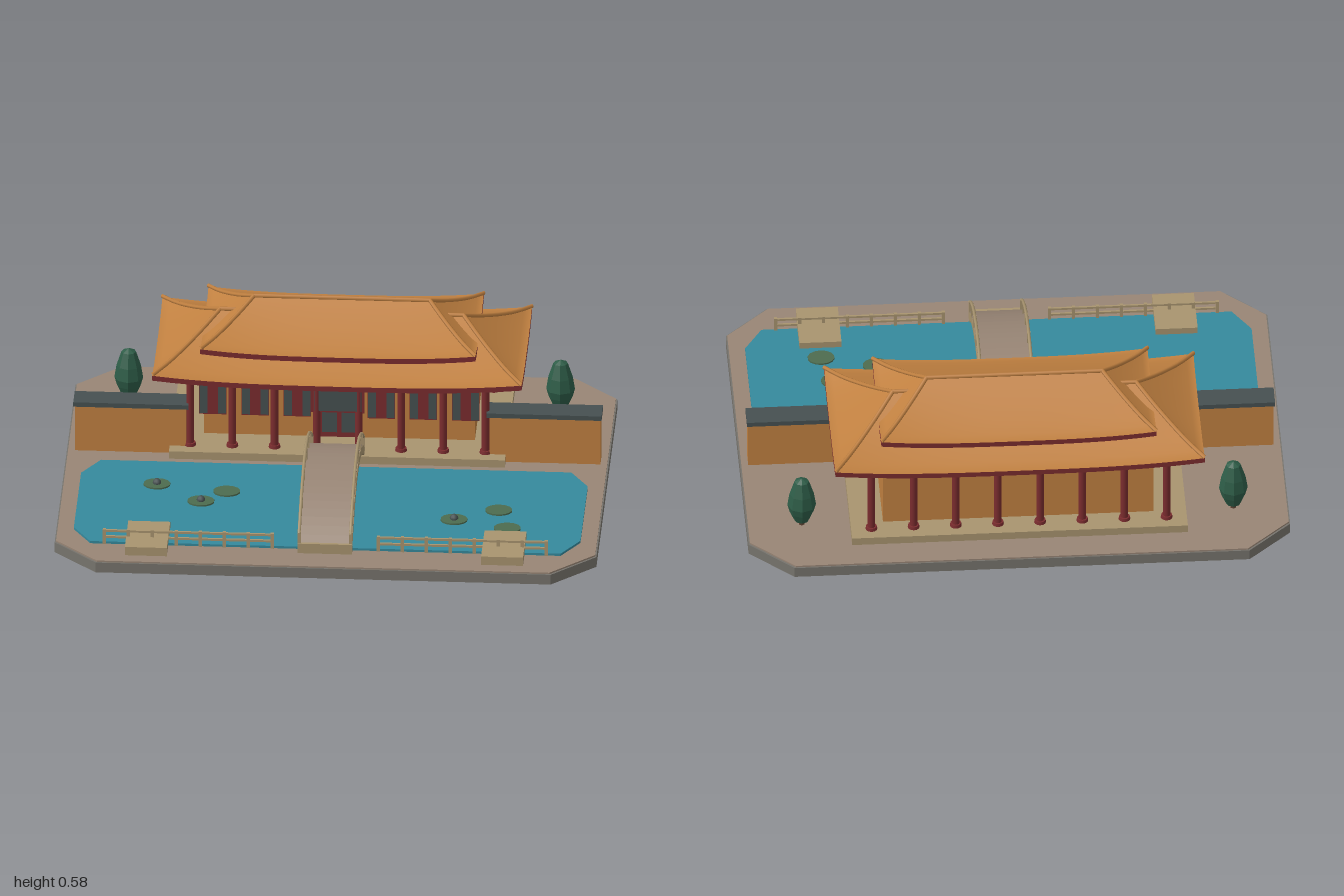
import * as THREE from 'three';
import { ParametricGeometry } from 'three/addons/geometries/ParametricGeometry.js';

const mat = (name, color, extra = {}) => {
  const m = new THREE.MeshStandardMaterial({ color, ...extra });
  m.name = name;
  return m;
};

export function createModel() {
  const ochre = mat('ochre', 0xc08040);
  const red = mat('dark red', 0x7a2c2e);
  const stone = mat('sandstone', 0xa8946f);
  const paving = mat('paving', 0x988575);
  const slabGrey = mat('slab grey', 0x76736c);
  const water = mat('water', 0x35899c);
  const tile = mat('dark tile', 0x465051);
  const leaf = mat('foliage', 0x2d5c47, { flatShading: true });
  const lily = mat('lily green', 0x4d6b4f);
  const trunkBrown = mat('trunk brown', 0x5a4030);

  const root = new THREE.Group();
  root.name = 'pavilionGarden';
  const add = (name, geo, m, x = 0, y = 0, z = 0, parent = root) => {
    const mesh = new THREE.Mesh(geo, m);
    mesh.name = name;
    mesh.position.set(x, y, z);
    parent.add(mesh);
    return mesh;
  };
  // Box given by its minimum and maximum on each axis
  const box = (name, m, x0, x1, y0, y1, z0, z1, parent = root) =>
    add(name, new THREE.BoxGeometry(x1 - x0, y1 - y0, z1 - z0), m,
      (x0 + x1) / 2, (y0 + y1) / 2, (z0 + z1) / 2, parent);

  // Octagonal plate: rectangle with cut corners
  const plate = (name, m, hx, z0, z1, cx, cz, y0, y1) => {
    const pts = [[-hx + cx, z0], [hx - cx, z0], [hx, z0 + cz], [hx, z1 - cz],
      [hx - cx, z1], [-hx + cx, z1], [-hx, z1 - cz], [-hx, z0 + cz]];
    const shape = new THREE.Shape(pts.map(([x, z]) => new THREE.Vector2(x, -z)));
    const geo = new THREE.ExtrudeGeometry(shape, { depth: y1 - y0, bevelEnabled: false });
    geo.rotateX(-Math.PI / 2);
    return add(name, geo, m, 0, y0, 0);
  };
  plate('baseSlab', slabGrey, 1, -0.8, 0.8, 0.16, 0.155, 0, 0.04);
  plate('paving', paving, 0.995, -0.795, 0.795, 0.16, 0.155, 0.04, 0.046);
  plate('pond', water, 0.935, -0.01, 0.655, 0.067, 0.11, 0.046, 0.055);

  // Lily pads and buds
  [[-0.65, 0.18, 1], [-0.48, 0.31, 1], [-0.39, 0.225, 0],
    [0.46, 0.405, 1], [0.62, 0.32, 0], [0.66, 0.465, 0]].forEach(([x, z, bud]) => {
    add('lilyPad', new THREE.CylinderGeometry(0.05, 0.05, 0.006, 14), lily, x, 0.058, z).scale.z = 0.82;
    if (bud) add('lilyBud', new THREE.SphereGeometry(0.016, 8, 6), tile, x, 0.064, z);
  });

  // Hall: platform, body, doors and windows
  const CZ = -0.367;
  const hall = new THREE.Group();
  hall.name = 'hall';
  root.add(hall);
  box('platform', stone, -0.62, 0.62, 0.046, 0.076, -0.68, -0.052, hall);
  box('hallWalls', ochre, -0.5, 0.5, 0.076, 0.375, -0.583, -0.21, hall);
  box('door', red, -0.075, 0.075, 0.08, 0.31, -0.21, -0.2, hall);
  for (const s of [-1, 1]) {
    box('doorPanel', tile, s * 0.036 - 0.027, s * 0.036 + 0.027, 0.1, 0.295, -0.2, -0.197, hall);
    for (const c of [0.467, 0.31, 0.155]) {
      const x = s * c;
      box('window', red, x - 0.05, x + 0.05, 0.16, 0.29, -0.212, -0.2, hall);
      for (const d of [-0.034, 0.034])
        box('windowPane', tile, x + d - 0.015, x + d + 0.015, 0.165, 0.285, -0.2, -0.196, hall);
    }
  }
  box('signFrame', red, -0.098, 0.098, 0.228, 0.33, -0.12, -0.105, hall);
  box('signBoard', tile, -0.088, 0.088, 0.236, 0.322, -0.105, -0.1, hall);

  // Columns and the beams on them
  for (const z of [CZ - 0.255, CZ + 0.255]) {
    for (let i = 0; i < 8; i++) {
      const x = -0.545 + (1.09 * i) / 7;
      add('column', new THREE.CylinderGeometry(0.014, 0.014, 0.29, 12), red, x, 0.221, z, hall);
      add('columnBase', new THREE.CylinderGeometry(0.02, 0.022, 0.012, 12), red, x, 0.082, z, hall);
    }
    box('longBeam', red, -0.56, 0.56, 0.343, 0.365, z - 0.01, z + 0.01, hall);
  }
  for (const s of [-1, 1])
    box('crossBeam', red, s * 0.545 - 0.01, s * 0.545 + 0.01, 0.343, 0.365, CZ - 0.255, CZ + 0.255, hall);

  // Hipped roof with sagging slopes and lifted corners
  const makeRoof = (name, hx, hz, ridge, eave, top, lift) => {
    const g = new THREE.Group();
    g.name = name;
    g.position.z = CZ;
    root.add(g);
    const thick = 0.02;
    const height = (s, t) => eave + (top - eave) * Math.pow(t, 1.2)
      + lift * Math.pow(Math.abs(s), 3) * (1 - t) * (1 - t);
    const halfX = (t) => hx + (ridge - hx) * t;
    const halfZ = (t) => hz * (1 - t);
    for (let k = 0; k < 4; k++) {
      const [w, d] = k % 2 ? [halfZ, halfX] : [halfX, halfZ];
      const sheet = (part, m, fn, rows) => {
        const geo = new ParametricGeometry((u, v, p) => fn(u * 2 - 1, v, p), 20, rows);
        geo.rotateY((k * Math.PI) / 2);
        add(part, geo, m, 0, 0, 0, g);
      };
      sheet('roofSlope', ochre, (s, t, p) => p.set(s * w(t), height(s, t), d(t)), 8);
      sheet('roofUnderside', red, (s, t, p) => p.set(-s * w(t), height(s, t) - thick, d(t)), 8);
      sheet('eaveBoard', red, (s, t, p) => p.set(s * w(0), height(s, 0) - thick * (1 - t), d(0)), 1);
    }
    // Ridge and hip rolls
    const roll = (part, pts, n) => add(part,
      new THREE.TubeGeometry(new THREE.CatmullRomCurve3(pts), n, 0.008, 6), ochre, 0, 0.003, 0, g);
    roll('ridgeRoll', [-ridge, 0, ridge].map((x) => new THREE.Vector3(x, top, 0)), 2);
    for (const sx of [-1, 1]) for (const sz of [-1, 1]) {
      const pts = [0, 0.25, 0.5, 0.75, 1].map((t) =>
        new THREE.Vector3(sx * halfX(t), height(1, t), sz * halfZ(t)));
      roll('hipRoll', pts, 10);
    }
  };
  makeRoof('lowerRoof', 0.682, 0.323, 0.45, 0.365, 0.508, 0.025);
  makeRoof('upperRoof', 0.508, 0.258, 0.325, 0.452, 0.566, 0.02);

  // Garden walls and trees on both sides
  for (const s of [-1, 1]) {
    const g = new THREE.Group();
    g.name = s > 0 ? 'leftGarden' : 'rightGarden';
    root.add(g);
    const sideBox = (name, m, a, b, ...r) => box(name, m, Math.min(s * a, s * b), Math.max(s * a, s * b), ...r, g);
    sideBox('gardenWall', ochre, 0.56, 0.97, 0.046, 0.235, -0.163, -0.1);
    sideBox('wallCoping', tile, 0.55, 0.975, 0.233, 0.251, -0.178, -0.085);
    sideBox('jetty', stone, 0.58, 0.735, 0.046, 0.08, 0.53, 0.745);
    add('treeTrunk', new THREE.CylinderGeometry(0.01, 0.012, 0.035, 6), trunkBrown, s * 0.797, 0.06, -0.535, g);
    const crown = [[0, 0.062], [0.028, 0.066], [0.045, 0.105], [0.053, 0.135], [0.045, 0.185], [0.027, 0.24], [0, 0.253]];
    add('treeCrown', new THREE.LatheGeometry(crown.map((p) => new THREE.Vector2(...p)), 8), leaf, s * 0.797, 0, -0.535, g);
    // Pond railing
    for (const y of [0.075, 0.1]) sideBox('pondRail', stone, 0.19, 0.82, y - 0.004, y + 0.004, 0.65, 0.658);
    for (let i = 0; i < 8; i++) {
      const x = 0.196 + i * 0.0885;
      sideBox('railPost', stone, x - 0.006, x + 0.006, 0.046, 0.107, 0.648, 0.66);
    }
  }

  // Arched bridge: stone arch with a paved deck and two handrails
  const ZC = 0.285, HALF = 0.4;
  const arch = (u) => 0.078 + 0.148 * (1 - u * u);
  const archShape = (lower, upper) => {
    const pts = [];
    for (let i = 0; i <= 24; i++) pts.push(new THREE.Vector2(HALF * (i / 12 - 1), arch(i / 12 - 1) + lower));
    for (let i = 24; i >= 0; i--) pts.push(new THREE.Vector2(HALF * (i / 12 - 1), arch(i / 12 - 1) + upper));
    return new THREE.Shape(pts);
  };
  const bridge = new THREE.Group();
  bridge.name = 'bridge';
  bridge.position.z = ZC;
  root.add(bridge);
  const archPart = (name, m, width, lower, upper) => {
    const geo = new THREE.ExtrudeGeometry(archShape(lower, upper), { depth: width, bevelEnabled: false });
    geo.translate(0, 0, -width / 2);
    geo.rotateY(-Math.PI / 2);
    add(name, geo, m, 0, 0, 0, bridge);
  };
  archPart('bridgeArch', stone, 0.2, -0.036, -0.002);
  archPart('bridgeDeck', paving, 0.196, -0.003, 0.002);
  box('bridgeFoot', stone, -0.1, 0.1, 0.046, 0.085, 0.365, 0.405, bridge);
  for (const x of [-0.095, 0.095]) {
    const pts = [];
    for (let i = 0; i <= 12; i++) pts.push(new THREE.Vector3(x, arch(i / 6 - 1) + 0.046, HALF * (i / 6 - 1)));
    add('handrail', new THREE.TubeGeometry(new THREE.CatmullRomCurve3(pts), 24, 0.006, 6), stone, 0, 0, 0, bridge);
    for (let i = 0; i < 7; i++) {
      const u = (i / 3 - 1) * 0.98;
      box('bridgePost', stone, x - 0.006, x + 0.006, arch(u) - 0.005, arch(u) + 0.048,
        HALF * u - 0.006, HALF * u + 0.006, bridge);
    }
  }
  return root;
}
